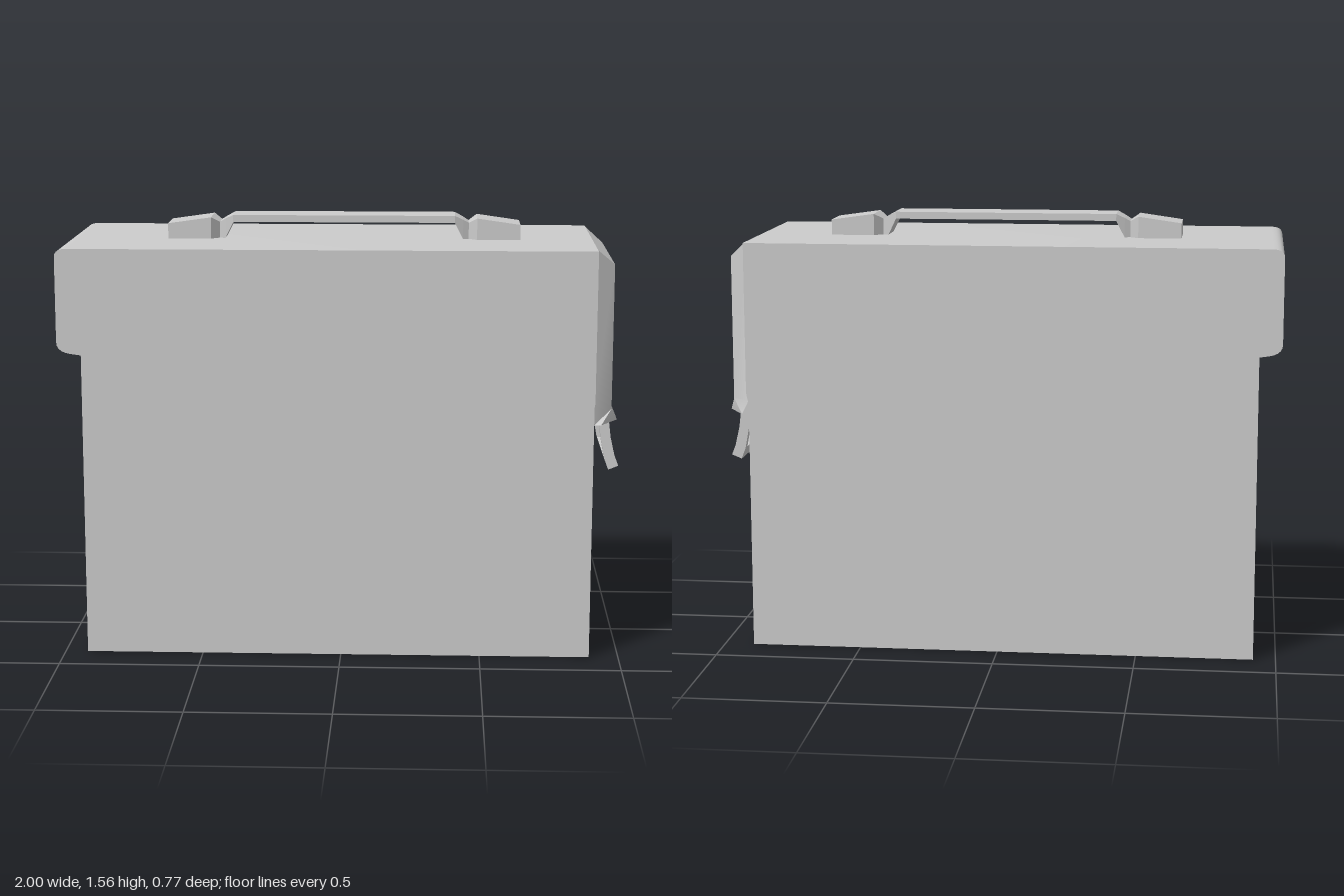
import * as THREE from 'three';
import { toCreasedNormals } from 'three/addons/utils/BufferGeometryUtils.js';

const material = new THREE.MeshStandardMaterial({ color: 0xcccccc });

function part(name, geometry, crease) {
  const mesh = new THREE.Mesh(crease ? toCreasedNormals(geometry, crease) : geometry, material);
  mesh.name = name;
  return mesh;
}

// Skin between equal-sized rings of [x, y, z], with flat end caps
function loft(rings) {
  const pos = [];
  const tri = (a, b, c) => {
    const [A, B, C] = [a, b, c].map((p) => new THREE.Vector3(...p));
    if (B.sub(A).cross(C.sub(A)).length() > 1e-7) pos.push(...a, ...b, ...c);
  };
  const n = rings[0].length;
  for (let r = 0; r + 1 < rings.length; r++) {
    const a = rings[r], b = rings[r + 1];
    for (let i = 0; i < n; i++) {
      const j = (i + 1) % n;
      tri(a[i], a[j], b[j]);
      tri(a[i], b[j], b[i]);
    }
  }
  const first = rings[0], last = rings[rings.length - 1];
  for (let i = 1; i + 1 < n; i++) {
    tri(first[0], first[i + 1], first[i]);
    tri(last[0], last[i], last[i + 1]);
  }
  const g = new THREE.BufferGeometry();
  g.setAttribute('position', new THREE.Float32BufferAttribute(pos, 3));
  g.computeVertexNormals();
  return g;
}

// Side profile in x/y, extruded across z from z0 to z1
function slab(shape, z0, z1) {
  return new THREE.ExtrudeGeometry(shape, { depth: z1 - z0, bevelEnabled: false, curveSegments: 5 })
    .translate(0, 0, z0);
}
const polygon = (pts) => new THREE.Shape(pts.map(([x, y]) => new THREE.Vector2(x, y)));

export function createModel() {
  const model = new THREE.Group();

  // Can body
  model.add(part('body', new THREE.BoxGeometry(1.815, 1.3, 0.7).translate(-0.0125, 0.65, 0)));

  // Lid with sloping lower edge and rounded corners
  const lid = new THREE.Shape();
  lid.moveTo(0.895, 1.475);
  lid.lineTo(-0.96, 1.475);
  lid.quadraticCurveTo(-1, 1.475, -1, 1.445);
  lid.lineTo(-1, 1.145);
  lid.quadraticCurveTo(-1, 1.11, -0.95, 1.103);
  lid.lineTo(0.8, 0.868);
  lid.bezierCurveTo(0.85, 0.862, 0.895, 0.89, 0.895, 0.94);
  lid.closePath();
  model.add(part('lid', slab(lid, -0.387, 0.387), 0.6));

  // Bevelled front panel, flared at the bottom: [y, midX, midZ, frontX, frontZ]
  const panelRings = [
    [0.855, 0.92, 0.35, 0.983, 0.245],
    [0.905, 0.958, 0.305, 0.958, 0.305],
    [1.42, 0.958, 0.305, 0.958, 0.305],
    [1.475, 0.895, 0.35, 0.895, 0.35],
  ].map(([y, mx, mz, fx, fz]) => [
    [0.895, y, 0.35], [mx, y, mz], [fx, y, fz],
    [fx, y, -fz], [mx, y, -mz], [0.895, y, -0.35],
  ]);
  model.add(part('frontPanel', loft(panelRings), 0.5));

  // Latch loop hanging below the panel
  const latch = new THREE.Group();
  latch.name = 'latch';
  const arm = polygon([
    [0.92, 0.87], [0.93, 0.78], [0.945, 0.7], [0.96, 0.66],
    [0.996, 0.675], [0.982, 0.71], [0.966, 0.78], [0.955, 0.87],
  ]);
  for (const s of [-1, 1]) {
    latch.add(part('latchArm', slab(arm, s * 0.185 - 0.015, s * 0.185 + 0.015), 0.4));
  }
  const bar = polygon([[0.945, 0.7], [0.96, 0.66], [0.996, 0.675], [0.986, 0.7]]);
  latch.add(part('latchBar', slab(bar, -0.17, 0.17), 0.4));
  model.add(latch);

  // Carry handle, end blocks and grip: [bottomX, topX, bottomY, topY, halfWidth]
  const half = [
    [-0.635, -0.635, 1.475, 1.53, 0.077],
    [-0.48, -0.48, 1.475, 1.552, 0.077],
    [-0.45, -0.45, 1.475, 1.533, 0.045],
    [-0.43, -0.43, 1.475, 1.545, 0.055],
    [-0.4, -0.4, 1.535, 1.56, 0.068],
  ];
  const mirrored = half.map(([b, t, ...rest]) => [-b, -t, ...rest]).reverse();
  const handleRings = [...half, ...mirrored].map(([b, t, y0, y1, w]) => [
    [b, y0, -w], [t, y1, -w], [t, y1, w], [b, y0, w],
  ]);
  model.add(part('handle', loft(handleRings)));

  return model;
}
